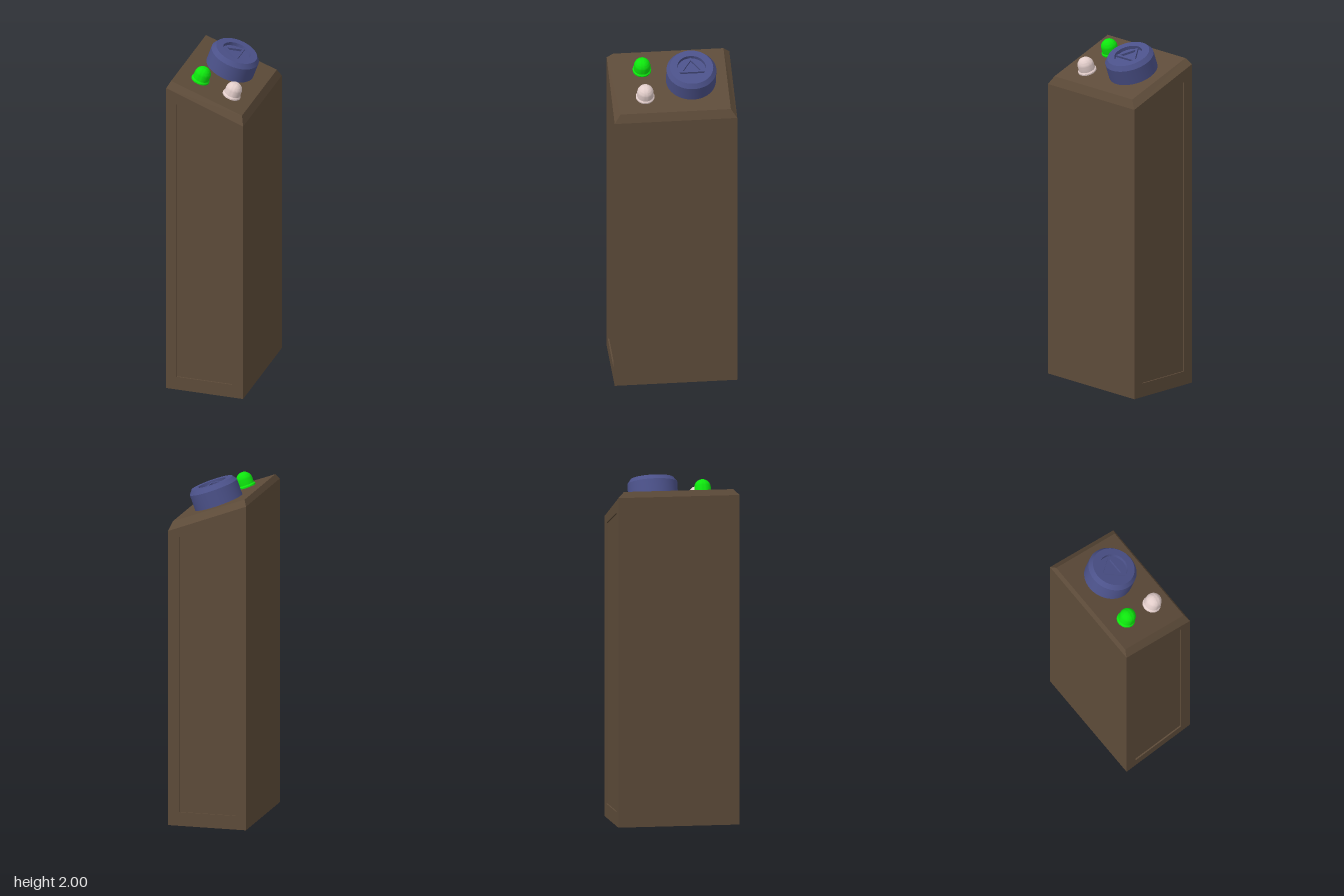
import * as THREE from 'three';
import { toCreasedNormals } from 'three/addons/utils/BufferGeometryUtils.js';

const material = (name, color) => {
  const m = new THREE.MeshStandardMaterial({ color });
  m.name = name;
  return m;
};

function addMesh(parent, name, geometry, mat) {
  const mesh = new THREE.Mesh(geometry, mat);
  mesh.name = name;
  parent.add(mesh);
  return mesh;
}

const points = (list) => list.map(([x, y]) => new THREE.Vector2(x, y));
const extrude = (shape, depth) =>
  new THREE.ExtrudeGeometry(shape, { depth, bevelEnabled: false });
const lathe = (profile, segments) =>
  toCreasedNormals(new THREE.LatheGeometry(profile, segments), 0.45);

// Bevelled band and sloping top between two rectangular rings
function capGeometry(lower, upper) {
  const ring = ({ x, z, left, right }) => [
    [-x, left, z], [x, right, z], [x, right, -z], [-x, left, -z]];
  const a = ring(lower), b = ring(upper), position = [];
  const quad = (p, q, r, s) => position.push(...p, ...q, ...r, ...p, ...r, ...s);
  for (let i = 0; i < 4; i++) {
    const j = (i + 1) % 4;
    quad(a[i], a[j], b[j], b[i]);
  }
  quad(...b);
  const geometry = new THREE.BufferGeometry();
  geometry.setAttribute('position', new THREE.Float32BufferAttribute(position, 3));
  geometry.computeVertexNormals();
  return geometry;
}

export function createModel() {
  const model = new THREE.Group();
  model.name = 'controlPillar';
  const brown = material('brown casing', 0x5d4b39);
  const blue = material('blue button', 0x4b5189);
  const green = material('green lamp', 0x0de60d);
  const pale = material('pale lamp', 0xe2cdca);

  // Casing with a shallow recessed panel in the front and back
  const W = 0.23, D = 0.35, recess = 0.008;
  const outline = points([[-W, 0], [W, 0], [W, 1.72], [-W, 1.893]]);
  addMesh(model, 'casing', extrude(new THREE.Shape(outline), 2 * (D - recess)), brown)
    .position.z = -(D - recess);
  const frame = new THREE.Shape(outline);
  frame.holes.push(new THREE.Path(
    points([[-0.167, 0.08], [-0.167, 1.8], [0.165, 1.69], [0.165, 0.08]])));
  const frameGeometry = extrude(frame, recess);
  addMesh(model, 'frontFrame', frameGeometry, brown).position.z = D - recess;
  addMesh(model, 'backFrame', frameGeometry, brown).position.z = -D;
  addMesh(model, 'slopedTop', capGeometry(
    { x: W, z: D, left: 1.893, right: 1.72 },
    { x: 0.212, z: 0.315, left: 1.925, right: 1.77 }), brown);

  // Controls sit square to the sloping top
  const controls = new THREE.Group();
  controls.name = 'controls';
  controls.position.y = 1.8475;
  controls.rotation.z = -Math.atan2(0.155, 0.424);
  model.add(controls);

  // Large button with a dished top and a raised triangular frame
  const button = new THREE.Group();
  button.name = 'button';
  button.position.z = -0.108;
  controls.add(button);
  addMesh(button, 'buttonBody', lathe(points([
    [0.142, -0.005], [0.142, 0.092], [0.123, 0.118],
    [0.082, 0.118], [0.082, 0.097], [0, 0.097]]), 64), blue);
  const triangle = new THREE.Shape(points([[-0.079, 0], [0.03, -0.077], [0.03, 0.077]]));
  triangle.holes.push(new THREE.Path(points([[-0.058, 0], [0.018, 0.051], [0.018, -0.051]])));
  const triangleMesh = addMesh(button, 'triangleFrame', extrude(triangle, 0.014), blue);
  triangleMesh.rotation.x = -Math.PI / 2;
  triangleMesh.position.y = 0.096;

  // Two domed lamps on small collars
  const lampProfile = points([[0.053, -0.004], [0.053, 0.008], [0.047, 0.015]]);
  for (let i = 0; i <= 10; i++) {
    const t = (i / 10) * Math.PI / 2;
    lampProfile.push(new THREE.Vector2(0.047 * Math.cos(t), 0.041 + 0.047 * Math.sin(t)));
  }
  const lampGeometry = lathe(lampProfile, 40);
  for (const [name, x, mat] of [['greenLamp', -0.094, green], ['paleLamp', 0.105, pale]]) {
    addMesh(controls, name, lampGeometry, mat).position.set(x, 0, 0.163);
  }
  return model;
}
